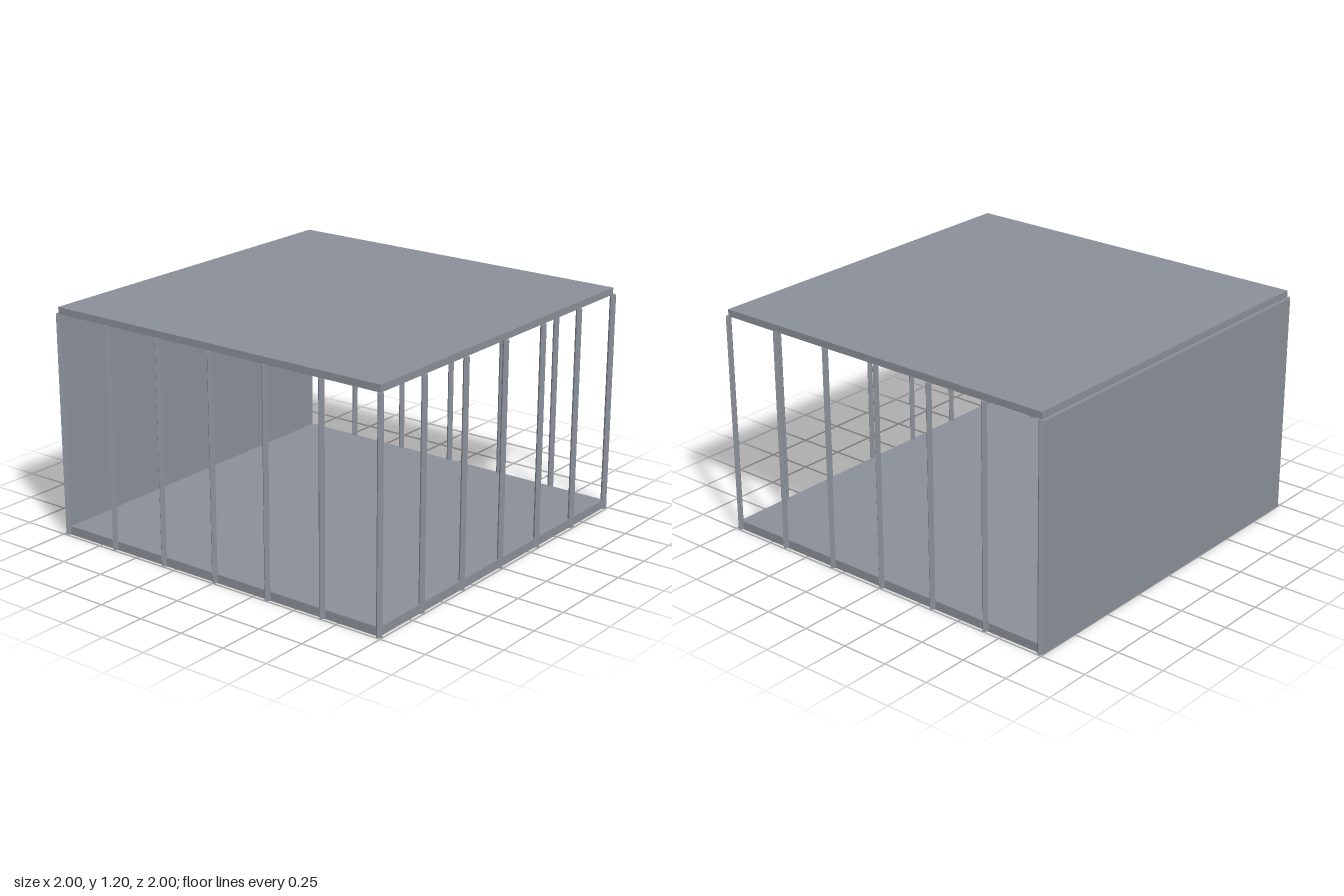
import * as THREE from 'three';

export function createModel() {
  const model = new THREE.Group();
  const greyMetal = new THREE.MeshStandardMaterial({ color: 0x8a8f98 });
  greyMetal.name = 'greyMetal';

  const EDGE = 0.982;        // line on which posts and wall are centred
  const ROOF_BOTTOM = 1.162; // top of posts and wall
  const HALF = 0.018;        // half diagonal of a post

  function addBox(name, w, h, d, x, y, z, turn = 0) {
    const mesh = new THREE.Mesh(new THREE.BoxGeometry(w, h, d), greyMetal);
    mesh.name = name;
    mesh.position.set(x, y, z);
    mesh.rotation.y = turn;
    model.add(mesh);
  }

  // Floor and roof slabs
  addBox('floor', EDGE * 2, 0.046, EDGE * 2, 0, 0.023, 0);
  addBox('roof', EDGE * 2, 0.036, EDGE * 2, 0, ROOF_BOTTOM + 0.018, 0);

  // Solid wall on the -x side
  addBox('sideWall', HALF * 2, ROOF_BOTTOM, EDGE * 2, -EDGE, ROOF_BOTTOM / 2, 0);

  // Square posts set diagonally along the three open sides
  const side = HALF * Math.SQRT2;
  const addPost = (name, x, z) =>
    addBox(name, side, ROOF_BOTTOM, side, x, ROOF_BOTTOM / 2, z, Math.PI / 4);
  for (let i = 0; i <= 6; i++) {
    const t = -EDGE + (i * EDGE) / 3;
    addPost('frontPost', t, EDGE);
    addPost('backPost', t, -EDGE);
    if (i > 0 && i < 6) addPost('sidePost', EDGE, t);
  }

  return model;
}
